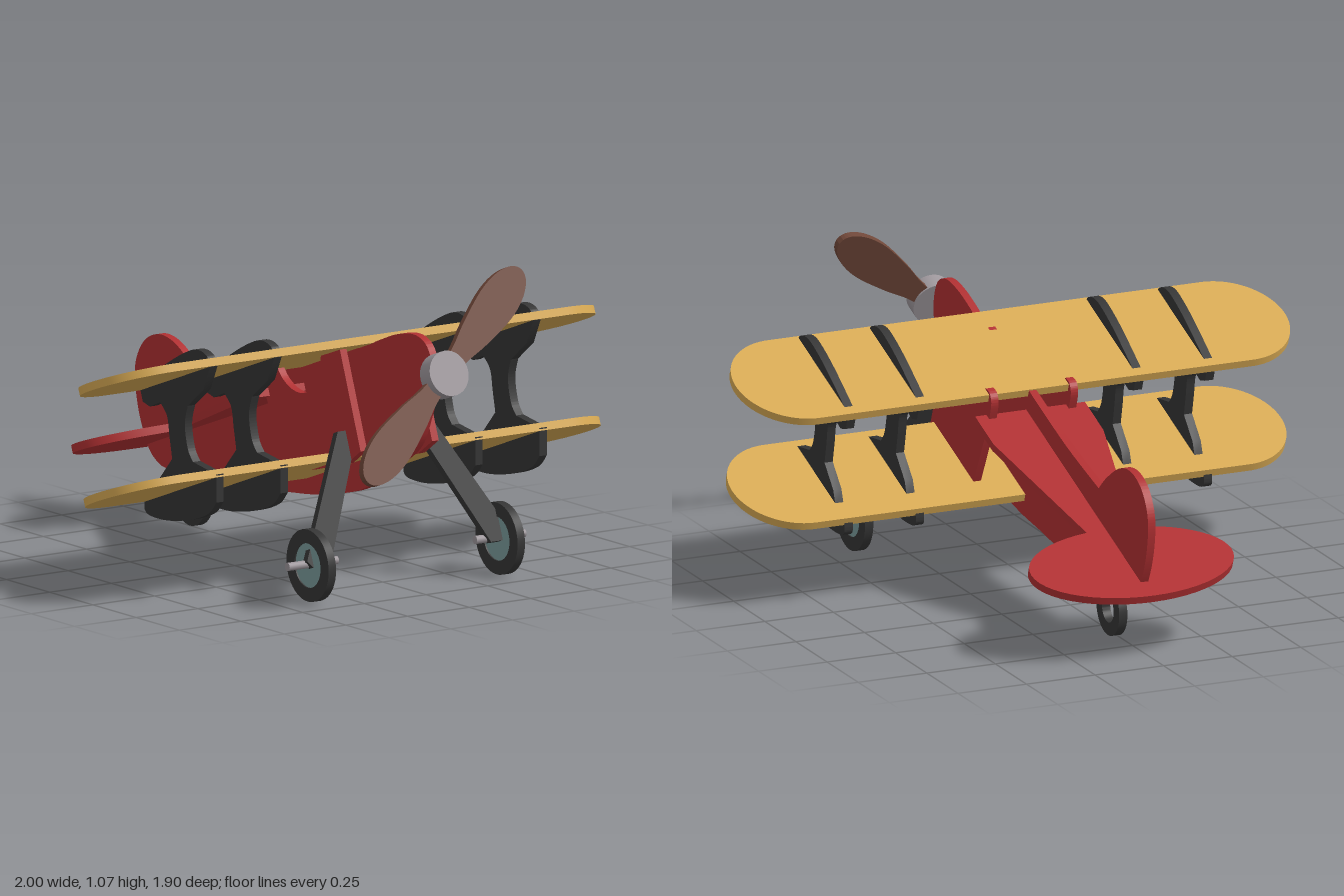
import * as THREE from 'three';
import { toCreasedNormals } from 'three/addons/utils/BufferGeometryUtils.js';

const TILT = -THREE.MathUtils.degToRad(20.3); // nose-up attitude on the ground
const CX = 0.0125; // body centre plane
const T = 0.027; // sheet thickness

const mat = (name, color) => {
  const m = new THREE.MeshStandardMaterial({ color });
  m.name = name;
  return m;
};
const v2 = (pts) => pts.map(([a, b]) => new THREE.Vector2(a, b));

// sheet of the given outline, centred on its own plane
function sheet(shape, t = T) {
  const g = new THREE.ExtrudeGeometry(shape, { depth: t, bevelEnabled: false, curveSegments: 24 });
  g.translate(0, 0, -t / 2);
  return toCreasedNormals(g, 0.6);
}
const sideSheet = (shape, t) => sheet(shape, t).rotateY(-Math.PI / 2); // outline in (z, y)
const flatSheet = (shape, t) => sheet(shape, t).rotateX(Math.PI / 2); // outline in (x, z)

function ring(outer, inner) {
  const s = new THREE.Shape().absarc(0, 0, outer, 0, Math.PI * 2);
  s.holes.push(new THREE.Path().absarc(0, 0, inner, 0, Math.PI * 2, true));
  return s;
}

export function createModel() {
  const model = new THREE.Group();
  model.name = 'biplane';
  const red = mat('red', 0xb03032);
  const yellow = mat('yellow', 0xd8aa54);
  const black = mat('black', 0x353535);
  const brown = mat('brown', 0x6e4638);
  const grey = mat('grey', 0x9c959a);
  const blue = mat('pale blue', 0x7a9a9a);

  const add = (name, geo, material, x, y, z, tilt = 0) => {
    const m = new THREE.Mesh(geo, material);
    m.name = name;
    m.position.set(x, y, z);
    m.rotation.x = tilt;
    model.add(m);
    return m;
  };

  // body with fin, one upright sheet
  const body = new THREE.Shape();
  body.moveTo(0.46, 0.81);
  body.lineTo(0.44, 0.8);
  body.lineTo(0.36, 0.77);
  body.lineTo(0.355, 0.798);
  body.lineTo(0.03, 0.673);
  body.splineThru(v2([[-0.27, 0.565], [-0.535, 0.49]]));
  body.splineThru(v2([[-0.6, 0.545], [-0.7, 0.605], [-0.79, 0.62], [-0.87, 0.59], [-0.92, 0.525],
    [-0.932, 0.45], [-0.91, 0.34], [-0.86, 0.235], [-0.81, 0.19], [-0.75, 0.173], [-0.67, 0.19]]));
  body.lineTo(-0.66, 0.175);
  body.splineThru(v2([[-0.575, 0.163], [-0.37, 0.172], [-0.07, 0.21], [0.13, 0.235], [0.38, 0.295],
    [0.56, 0.4], [0.69, 0.49], [0.75, 0.6], [0.788, 0.71], [0.785, 0.79], [0.75, 0.85],
    [0.68, 0.872], [0.58, 0.855], [0.46, 0.81]]));
  add('body', sideSheet(body), red, CX, 0, 0);

  // rear deck flowing into the oval tailplane
  const deck = new THREE.Shape();
  const a = 1.336;
  deck.moveTo(-0.2, 0.87);
  deck.lineTo(-0.2, 0.71);
  deck.lineTo(-0.085, 0.185);
  deck.absellipse(0, 0, 0.365, 0.19, Math.PI - a, Math.PI * 2 + a, false);
  deck.lineTo(0.2, 0.71);
  deck.lineTo(0.2, 0.87);
  add('deckAndTailplane', flatSheet(deck), red, CX, 0.285, -0.765, TILT);

  // cockpit side panels with a round cutout
  const panel = new THREE.Shape();
  panel.moveTo(0.58, 0.475);
  panel.lineTo(0.46, 0.8);
  panel.lineTo(0.35, 0.76);
  panel.splineThru(v2([[0.34, 0.69], [0.3, 0.64], [0.24, 0.615], [0.18, 0.62], [0.13, 0.645], [0.1, 0.675]]));
  panel.lineTo(0.05, 0.69);
  panel.splineThru(v2([[0.02, 0.68], [0.008, 0.645], [0.03, 0.575]]));
  panel.lineTo(0.157, 0.325);
  panel.lineTo(0.5, 0.42);
  for (const s of [-1, 1]) add('sidePanel', sideSheet(panel), red, CX + s * 0.145, 0, 0);

  // wings with rounded tips
  const wing = new THREE.Shape();
  const h = 0.221;
  wing.moveTo(-0.79, -h);
  wing.lineTo(0.79, -h);
  wing.absellipse(0.79, 0, 0.21, h, -Math.PI / 2, Math.PI / 2, false);
  wing.lineTo(-0.79, h);
  wing.absellipse(-0.79, 0, 0.21, h, Math.PI / 2, Math.PI * 1.5, false);
  add('upperWing', flatSheet(wing), yellow, 0, 0.739, 0.235, TILT);
  add('lowerWing', flatSheet(wing), yellow, 0, 0.367, 0.265, TILT);

  // wing struts with curved caps above and below
  const strut = new THREE.Shape();
  strut.moveTo(0.44, 0.8);
  strut.splineThru(v2([[0.42, 0.833], [0.37, 0.845], [0.31, 0.83], [0.2, 0.775], [0.03, 0.67]]));
  strut.lineTo(0.05, 0.615);
  strut.lineTo(0.09, 0.605);
  strut.lineTo(0.15, 0.63);
  strut.splineThru(v2([[0.19, 0.59], [0.205, 0.52], [0.22, 0.45]]));
  strut.lineTo(0.15, 0.375);
  strut.lineTo(0.13, 0.32);
  strut.lineTo(0.06, 0.29);
  strut.splineThru(v2([[0.062, 0.25], [0.1, 0.235], [0.2, 0.237], [0.33, 0.262], [0.43, 0.3], [0.475, 0.345]]));
  strut.lineTo(0.475, 0.44);
  strut.lineTo(0.41, 0.45);
  strut.lineTo(0.34, 0.46);
  strut.splineThru(v2([[0.31, 0.5], [0.293, 0.58], [0.31, 0.645]]));
  strut.lineTo(0.4, 0.715);
  for (const x of [0.395, 0.655]) {
    for (const s of [-1, 1]) add('wingStrut', sideSheet(strut, 0.03), black, CX + s * x, 0, 0);
  }

  // propeller
  const blade = new THREE.Shape();
  blade.moveTo(0, -0.03);
  blade.splineThru(v2([[0.1, -0.036], [0.2, -0.056], [0.33, -0.072], [0.42, -0.064], [0.48, -0.037], [0.5, 0],
    [0.48, 0.037], [0.42, 0.064], [0.33, 0.072], [0.2, 0.056], [0.1, 0.036], [0, 0.03]]));
  for (const turn of [0, Math.PI]) {
    const geo = sheet(blade, 0.025).rotateZ(THREE.MathUtils.degToRad(39) + turn);
    add('propellerBlade', geo, brown, CX, 0.753, 0.828, TILT);
  }
  const hub = toCreasedNormals(new THREE.CylinderGeometry(0.077, 0.077, 0.06, 32).rotateX(Math.PI / 2), 0.6);
  add('propellerHub', hub, grey, CX, 0.76, 0.838, TILT);

  // landing gear
  const tyre = sideSheet(ring(0.122, 0.075), 0.03);
  const disc = new THREE.CylinderGeometry(0.076, 0.076, 0.02, 32).rotateZ(Math.PI / 2);
  const axle = new THREE.CylinderGeometry(0.014, 0.014, 0.2, 16).rotateZ(Math.PI / 2);
  for (const s of [-1, 1]) {
    const leg = new THREE.Shape(v2([[s * 0.11, 0.215], [s * 0.19, 0.215], [s * 0.415, -0.2],
      [s * 0.395, -0.222], [s * 0.325, -0.222]]));
    add('landingLeg', sheet(leg), black, CX, 0.325, 0.555, TILT);
    add('tyre', tyre, black, CX + s * 0.383, 0.123, 0.615);
    add('wheelDisc', disc, blue, CX + s * 0.383, 0.123, 0.615);
    add('axle', axle, grey, CX + s * 0.38, 0.128, 0.615);
  }

  // tail wheel
  add('tailWheel', sideSheet(ring(0.092, 0.047), 0.03), black, CX, 0.094, -0.612);

  return model;
}
